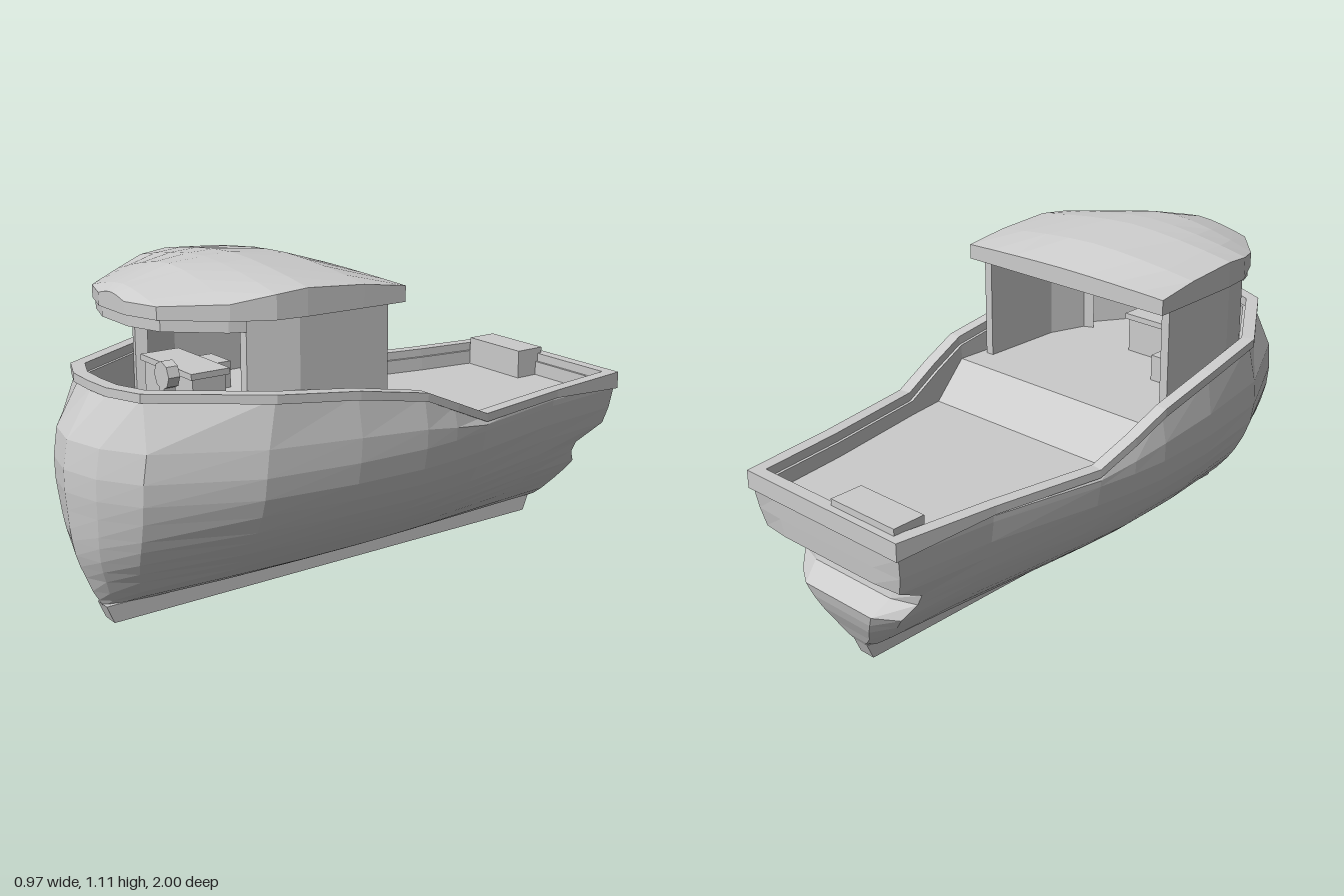
import * as THREE from 'three';

const material = new THREE.MeshStandardMaterial({ color: 0xcccccc, flatShading: true, side: THREE.DoubleSide });

// Skin a list of rows, each a list of [x, y, z] points
function loft(rows, closed) {
  const pos = [];
  const n = rows[0].length;
  for (let r = 0; r < rows.length - 1; r++) {
    for (let j = 0; j < (closed ? n : n - 1); j++) {
      const k = (j + 1) % n;
      const a = rows[r][j], b = rows[r][k], c = rows[r + 1][k], d = rows[r + 1][j];
      pos.push(...a, ...b, ...c, ...a, ...c, ...d);
    }
  }
  const g = new THREE.BufferGeometry();
  g.setAttribute('position', new THREE.Float32BufferAttribute(pos, 3));
  g.computeVertexNormals();
  return g;
}

// Piecewise linear lookup in ascending [key, value] pairs
function lookup(table, t) {
  if (t <= table[0][0]) return table[0][1];
  for (let i = 1; i < table.length; i++) {
    const [t0, v0] = table[i - 1], [t1, v1] = table[i];
    if (t <= t1) return v0 + (v1 - v0) * (t - t0) / (t1 - t0);
  }
  return table[table.length - 1][1];
}

const sheer = z => lookup([[-0.27, 0.58], [0, 0.7], [0.2, 0.74], [0.5, 0.77], [0.9, 0.78]], z);
const deckY = z => lookup([[-0.13, 0.5], [0, 0.62]], z);

// Half outline (bow to stern) to a full loop round the boat
const mirrorLoop = half => half.concat(half.slice(1, -1).reverse().map(([x, y, z]) => [-x, y, z]));

// Move a half outline of [x, z] inwards by d, with mitred corners
function inset(half, d) {
  return half.map(([x, z], i) => {
    const prev = half[i - 1] || [-half[1][0], half[1][1]];
    const next = half[i + 1] || [-half[i - 1][0], half[i - 1][1]];
    const normal = (p, q) => new THREE.Vector2(p[1] - q[1], q[0] - p[0]).normalize();
    const n1 = normal(prev, [x, z]), n2 = normal([x, z], next);
    const k = d / (1 + n1.dot(n2));
    return [x - (n1.x + n2.x) * k, z - (n1.y + n2.y) * k];
  });
}

// Flat plan shape of [x, z] points, raised between two heights
function slab(points, y0, y1) {
  const g = new THREE.ExtrudeGeometry(new THREE.Shape(points.map(p => new THREE.Vector2(...p))),
    { depth: y1 - y0, bevelEnabled: false });
  return g.rotateX(Math.PI / 2).translate(0, y1, 0);
}

export function createModel() {
  const boat = new THREE.Group();
  boat.name = 'boat';
  const add = (name, geometry, x = 0, y = 0, z = 0, parent = boat) => {
    const mesh = new THREE.Mesh(geometry, material);
    mesh.name = name;
    mesh.position.set(x, y, z);
    parent.add(mesh);
    return mesh;
  };
  const box = (name, w, h, d, x, y, z, parent) => add(name, new THREE.BoxGeometry(w, h, d), x, y, z, parent);

  // Hull: plan stations as [share of half width, z]
  const stations = [[0, 1], [0.29, 0.965], [0.56, 0.88], [0.89, 0.56], [0.98, 0.25], [1, 0],
    [0.975, -0.13], [0.93, -0.27], [0.76, -0.65], [0.68, -1], [0.45, -1], [0, -1]];
  const outline = (w, bow, stern, round) => stations.map(([u, z]) => {
    if (z === -1) return [u * w, -stern + (u > 0.6 ? round : 0)];
    return [u * w, z > 0 ? z * bow : z];
  });
  // Levels: y, half width, bow scale, stern z, stern corner rounding
  const levels = [
    [0.05, 0.03, 0.89, 0.87, 0], [0.075, 0.1, 0.905, 0.885, 0.02], [0.11, 0.17, 0.925, 0.9, 0.04],
    [0.16, 0.24, 0.945, 0.925, 0.05], [0.2, 0.29, 0.962, 0.94, 0.05], [0.24, 0.335, 0.975, 0.95, 0.05],
    [0.29, 0.38, 0.985, 0.89, 0.03], [0.33, 0.41, 0.99, 0.88, 0.02], [0.39, 0.445, 0.995, 0.975, 0.01],
    [0.45, 0.47, 1, 0.98, 0.005], [0.52, 0.483, 1, 0.985, 0]];
  const rows = levels.map(([y, ...rest]) => mirrorLoop(outline(...rest).map(([x, z]) => [x, y, z])));
  rows.push(mirrorLoop(outline(0.485, 0.985, 0.985, 0)
    .map(([x, z]) => [x, 0.52 + (sheer(z) - 0.52) * 0.35, z])));
  const top = [[0, 0.89], [0.1, 0.885], [0.21, 0.84], [0.42, 0.52], [0.455, 0.25], [0.465, 0],
    [0.455, -0.13], [0.435, -0.27], [0.365, -0.65], [0.32, -0.98], [0.2, -0.98], [0, -0.98]];
  const edge = (d, height) => inset(top, d).map(([x, z], i) => [x, height(top[i][1]), z]);
  rows.push(mirrorLoop(edge(0, z => sheer(z) - 0.015)));
  add('hull', loft(rows, true));

  // Keel
  const keel = new THREE.Shape([[0.87, 0], [0.895, 0.06], [-0.875, 0.06], [-0.85, 0]]
    .map(p => new THREE.Vector2(...p)));
  add('keel', new THREE.ExtrudeGeometry(keel, { depth: 0.06, bevelEnabled: false })
    .rotateY(-Math.PI / 2).translate(0.03, 0, 0));

  // Rail with the inner bulwark down to the deck
  const railFoot = z => sheer(z) - (z < -0.9 ? 0.06 : 0.028);
  add('railAndBulwark', loft([edge(0.005, railFoot), edge(-0.018, railFoot), edge(-0.018, sheer),
    edge(0.025, sheer), edge(0.025, z => sheer(z) - 0.03), edge(0.035, z => sheer(z) - 0.03),
    edge(0.035, deckY)].map(mirrorLoop), true));

  // Deck with a ramp up to the cabin floor
  add('deck', loft(edge(0.034, deckY).map(([x, y, z]) => [[-x, y, z], [x, y, z]]), false));

  // Cabin side walls with front corner returns
  const cabin = new THREE.Group();
  cabin.name = 'cabin';
  boat.add(cabin);
  const wall = [[0.405, 0.1], [0.4, 0.42], [0.345, 0.57], [0.32, 0.575], [0.29, 0.545],
    [0.325, 0.53], [0.37, 0.4], [0.375, 0.1]];
  for (const s of [1, -1]) {
    add(s > 0 ? 'leftWall' : 'rightWall', slab(wall.map(([x, z]) => [s * x, z]), 0.61, 0.985), 0, 0, 0, cabin);
  }

  // Beam under the front of the roof
  const outer = [[0.35, 0.57], [0.33, 0.62], [0.2, 0.77], [0.08, 0.81]];
  const inner = [[0.05, 0.77], [0.17, 0.735], [0.29, 0.6], [0.31, 0.57]];
  const flip = list => list.slice().reverse().map(([x, z]) => [-x, z]);
  add('frontBeam', slab([...outer, ...flip(outer), ...flip(inner), ...inner], 0.945, 0.985), 0, 0, 0, cabin);

  // Domed roof: z, half width, edge height, ridge height
  const ribs = [[0.82, 0.08, 1.02, 1.035], [0.78, 0.2, 1.02, 1.055], [0.62, 0.34, 1.03, 1.098],
    [0.5, 0.4, 1.055, 1.108], [0.4, 0.412, 1.065, 1.11], [0.2, 0.417, 1.052, 1.088], [0.045, 0.42, 1.03, 1.04]];
  const ring = ([z, w, e, c]) => {
    const pts = [-1, -0.75, -0.5, -0.25, 0, 0.25, 0.5, 0.75, 1].map(u =>
      [u * w, e + (c - e) * (1 - Math.abs(u) ** 1.6), z]);
    return [...pts, [w, 0.98, z], [-w, 0.98, z]];
  };
  const cap = z => Array.from({ length: 11 }, () => [0, 1, z]);
  add('roof', loft([cap(0.82), ...ribs.map(ring), cap(0.045)], true), 0, 0, 0, cabin);

  // Helm: console, wheel and seat
  const helm = new THREE.Group();
  helm.name = 'helm';
  boat.add(helm);
  box('console', 0.3, 0.12, 0.12, -0.1, 0.68, 0.52, helm);
  box('consoleTop', 0.32, 0.02, 0.14, -0.1, 0.75, 0.52, helm);
  box('seat', 0.12, 0.09, 0.12, -0.24, 0.665, 0.36, helm);
  const winch = add('winchDrum', new THREE.CylinderGeometry(0.045, 0.045, 0.04, 8), 0, 0.755, 0.64, helm);
  winch.rotation.x = Math.PI / 2;
  box('winchPost', 0.03, 0.13, 0.04, 0, 0.68, 0.64, helm);

  // Storage locker at the stern
  box('sternLocker', 0.27, 0.11, 0.115, -0.165, 0.547, -0.915);
  return boat;
}
